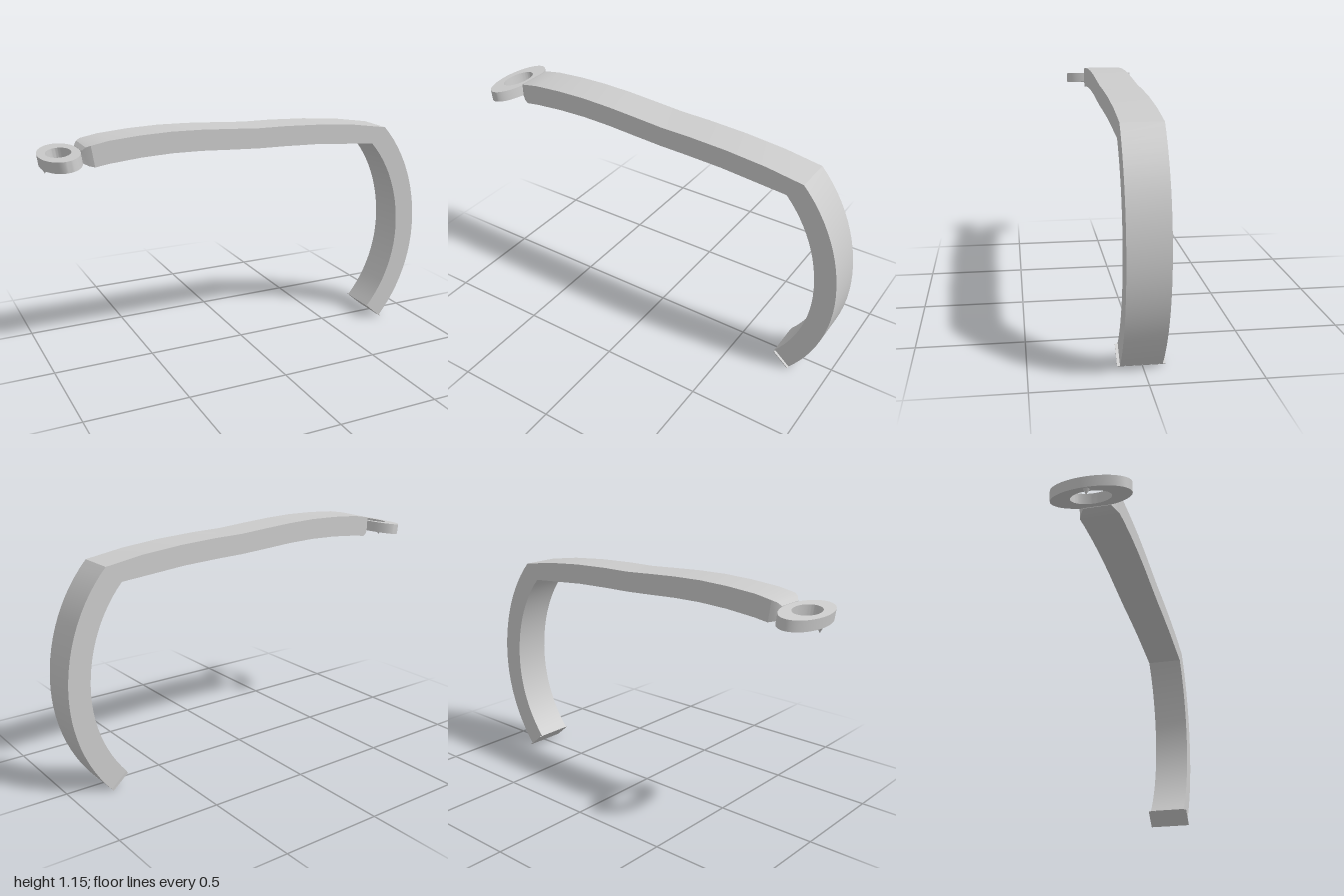
import * as THREE from 'three';
import { toCreasedNormals } from 'three/addons/utils/BufferGeometryUtils.js';

const material = new THREE.MeshStandardMaterial({ color: 0xcccccc, side: THREE.DoubleSide });

function addMesh(parent, name, geometry) {
  const mesh = new THREE.Mesh(geometry, material);
  mesh.name = name;
  parent.add(mesh);
  return mesh;
}

// Closed bar skinned over four-cornered sections { o: outer xy, i: inner xy, w: half width }
function barGeometry(sections) {
  const positions = [], index = [];
  for (const { o, i, w } of sections) {
    positions.push(o[0], o[1], w, o[0], o[1], -w, i[0], i[1], -w, i[0], i[1], w);
  }
  const last = (sections.length - 1) * 4;
  for (let s = 0; s < last; s += 4) {
    for (let k = 0; k < 4; k++) {
      const a = s + k, b = s + (k + 1) % 4;
      index.push(a, a + 4, b, a + 4, b + 4, b);
    }
  }
  index.push(0, 1, 2, 0, 2, 3, last, last + 2, last + 1, last, last + 3, last + 2);
  const geometry = new THREE.BufferGeometry();
  geometry.setAttribute('position', new THREE.Float32BufferAttribute(positions, 3));
  geometry.setIndex(index);
  return toCreasedNormals(geometry, 0.4);
}

export function createModel() {
  const group = new THREE.Group();
  const halfWidth = 0.094;

  // Narrowed tip beside the ring
  const sections = [
    { o: [-0.82, 1.105], i: [-0.82, 1.048], w: 0.065 },
    { o: [-0.805, 1.122], i: [-0.795, 1.036], w: 0.082 },
  ];

  // Gently waved arm: x and y of the upper edge, x and y of the lower edge
  const arm = [
    [-0.785, 1.13, -0.77, 1.03], [-0.7, 1.145, -0.7, 1.04], [-0.55, 1.156, -0.55, 1.053],
    [-0.4, 1.16, -0.4, 1.058], [-0.25, 1.156, -0.25, 1.055], [-0.1, 1.147, -0.1, 1.046],
    [0.05, 1.137, 0.05, 1.038], [0.2, 1.135, 0.19, 1.035], [0.4, 1.126, 0.38, 1.028],
    [0.6, 1.108, 0.57, 1.012],
  ];
  for (const [ox, oy, ix, iy] of arm) sections.push({ o: [ox, oy], i: [ix, iy], w: halfWidth });

  // Curved hook, slightly opened out towards the corner
  const steps = 24, start = 0.8, end = -0.714;
  const onHook = (radius, t) => [
    0.221 + radius * Math.cos(t) + (t > 0 ? 0.045 * Math.sin(t) ** 2 : 0),
    0.52 + radius * Math.sin(t),
  ];
  for (let n = 0; n <= steps; n++) {
    const t = start + (end - start) * n / steps;
    sections.push({ o: onHook(0.779, t), i: onHook(0.67, t), w: halfWidth });
  }
  const bar = addMesh(group, 'hookedBar', barGeometry(sections));
  bar.position.z = 0.004;

  // Thin end plate, a little wider than the bar
  const plate = addMesh(group, 'endPlate', new THREE.BoxGeometry(0.106, 0.004, 0.214));
  plate.position.set(0.771, 0.046, 0.004);
  plate.rotation.z = end;

  // Oval ring, tilted down at its outer side
  const outline = new THREE.Shape().absellipse(0, 0, 0.092, 0.188, 0, Math.PI * 2);
  outline.holes.push(new THREE.Path().absellipse(0, 0, 0.056, 0.095, 0, Math.PI * 2));
  const ringGeometry = new THREE.ExtrudeGeometry(outline, {
    depth: 0.052, bevelEnabled: false, curveSegments: 32,
  });
  ringGeometry.translate(0, 0, -0.026).rotateX(-Math.PI / 2);
  const ring = addMesh(group, 'ovalRing', toCreasedNormals(ringGeometry, 0.6));
  ring.position.set(-0.906, 1.066, 0);
  ring.rotation.z = 0.13;

  // Small point under the ring
  const point = addMesh(group, 'ringPoint', new THREE.ConeGeometry(0.018, 0.035, 12));
  point.position.set(-0.975, 1.019, 0);
  point.rotation.x = Math.PI;

  return group;
}
